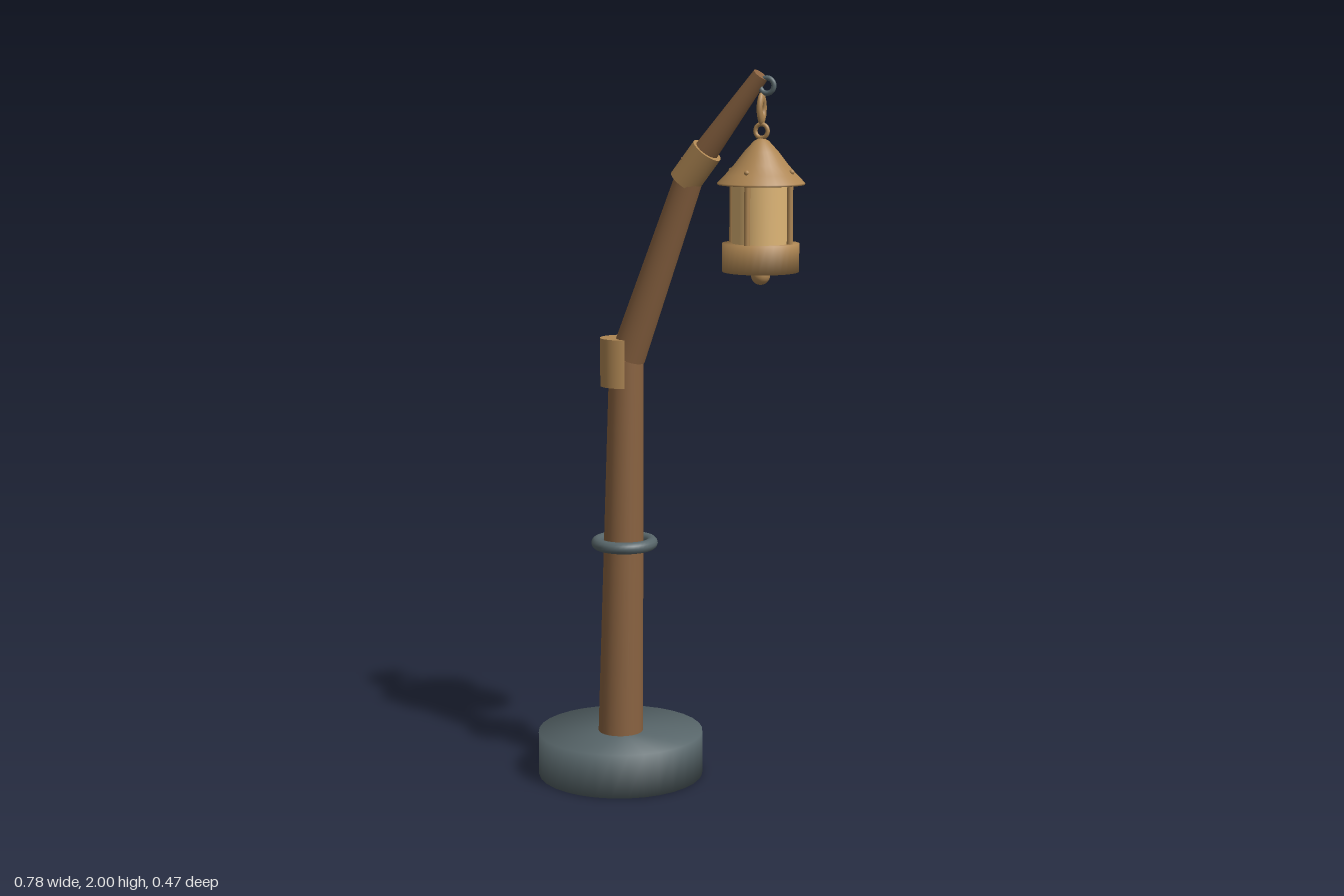
import * as THREE from 'three';
import { mergeVertices } from 'three/addons/utils/BufferGeometryUtils.js';

const mat = (name, color, side = THREE.FrontSide) => {
  const m = new THREE.MeshStandardMaterial({ color, side });
  m.name = name;
  return m;
};

// Shares normals across the rims so the edges shade softly
function soften(geometry) {
  geometry.deleteAttribute('normal');
  geometry.deleteAttribute('uv');
  const g = mergeVertices(geometry, 1e-4);
  g.computeVertexNormals();
  return g;
}

export function createModel() {
  const model = new THREE.Group();
  model.name = 'lanternPost';
  const wood = mat('wood', 0x8a6341);
  const brass = mat('brass', 0xae8653, THREE.DoubleSide);
  const iron = mat('iron', 0x58666a);
  const glass = mat('glass', 0xdfb676);

  function add(parent, name, geometry, material, x = 0, y = 0, z = 0) {
    const m = new THREE.Mesh(geometry, material);
    m.name = name;
    m.position.set(x, y, z);
    parent.add(m);
    return m;
  }

  // Tapered round beam between two points in the xy plane
  function beam(name, x0, y0, x1, y1, r0, r1, material) {
    const dx = x1 - x0, dy = y1 - y0;
    const geo = new THREE.CylinderGeometry(r1, r0, Math.hypot(dx, dy), 24);
    const m = add(model, name, geo, material, (x0 + x1) / 2, (y0 + y1) / 2);
    m.rotation.z = -Math.atan2(dx, dy);
    return m;
  }

  // Foot and post
  add(model, 'foot', soften(new THREE.CylinderGeometry(0.235, 0.235, 0.125, 32)), iron, -0.158, 0.0625);
  beam('post', -0.158, 0.1, -0.135, 1.2, 0.064, 0.048, wood);
  const band = add(model, 'postRing', new THREE.TorusGeometry(0.077, 0.017, 12, 40), iron, -0.143, 0.677);
  band.rotation.x = Math.PI / 2;

  // Bent arm with its two joint sleeves
  beam('lowerArm', -0.13, 1.207, 0.076, 1.75, 0.049, 0.038, wood);
  beam('upperArm', 0.07, 1.729, 0.272, 1.985, 0.037, 0.022, wood);
  add(model, 'lowerSleeve',
    new THREE.CylinderGeometry(0.06, 0.06, 0.135, 24, 1, false, Math.PI * 0.8, Math.PI * 1.4),
    brass, -0.15, 1.192);
  beam('upperSleeve', 0.046, 1.697, 0.114, 1.783, 0.044, 0.044, brass);

  // Hanging ring, link and eyelet
  add(model, 'tipRing', new THREE.TorusGeometry(0.02, 0.007, 10, 24), iron, 0.29, 1.957);
  const link = add(model, 'hangingLink', new THREE.TorusGeometry(0.013, 0.008, 10, 20), brass, 0.275, 1.897);
  link.rotation.y = Math.PI / 2;
  link.scale.y = 2.1;

  // Lantern
  const lantern = new THREE.Group();
  lantern.name = 'lantern';
  lantern.position.x = 0.275;
  model.add(lantern);
  add(lantern, 'eyelet', new THREE.TorusGeometry(0.018, 0.006, 10, 20), brass, 0, 1.838);
  const roof = [[0, 1.697], [0.117, 1.697], [0.117, 1.702], [0.095, 1.724], [0.072, 1.75],
    [0.045, 1.785], [0.02, 1.812], [0, 1.822]].map(([r, y]) => new THREE.Vector2(r, y));
  add(lantern, 'roof', new THREE.LatheGeometry(roof, 32), brass);
  add(lantern, 'glass', new THREE.CylinderGeometry(0.077, 0.077, 0.17, 32), glass, 0, 1.62);
  add(lantern, 'tray', soften(new THREE.CylinderGeometry(0.103, 0.103, 0.076, 32)), brass, 0, 1.503);
  add(lantern, 'finial', new THREE.SphereGeometry(0.026, 20, 14), brass, 0, 1.455);

  // Four bars around the glass, each with a roof rivet above it
  for (let i = 0; i < 4; i++) {
    const a = i * Math.PI / 2, c = Math.cos(a), s = Math.sin(a);
    add(lantern, 'bar', new THREE.CylinderGeometry(0.008, 0.008, 0.17, 10), brass, c * 0.085, 1.62, s * 0.085);
    add(lantern, 'rivet', new THREE.SphereGeometry(0.007, 10, 8), brass, c * 0.089, 1.732, s * 0.089);
  }
  return model;
}
